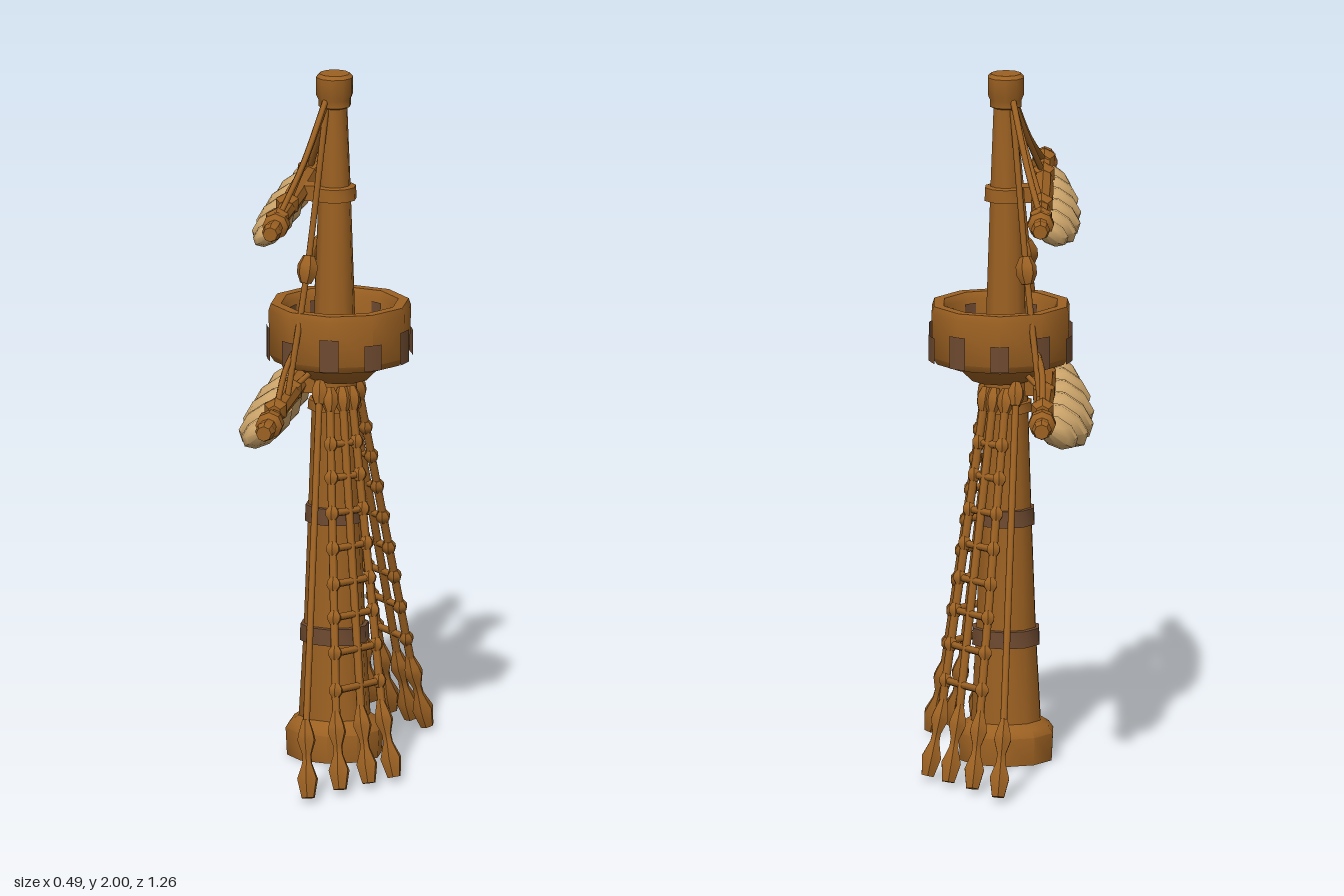
import * as THREE from 'three';
import { toCreasedNormals } from 'three/addons/utils/BufferGeometryUtils.js';

const V = (x, y, z) => new THREE.Vector3(x, y, z);
const UP = V(0, 1, 0);

export function createModel() {
  const model = new THREE.Group();
  model.name = 'shipMast';
  const paint = (name, color, side = THREE.FrontSide) => {
    const m = new THREE.MeshStandardMaterial({ color, side });
    m.name = name;
    return m;
  };
  const wood = paint('wood', 0x9c6122);
  const dark = paint('darkWood', 0x6e4a30, THREE.DoubleSide);
  const canvas = paint('canvas', 0xd3aa6e);

  const add = (name, geometry, material = wood) => {
    const mesh = new THREE.Mesh(geometry, material);
    mesh.name = name;
    model.add(mesh);
    return mesh;
  };
  // Turned part from [radius, height] pairs, listed from bottom to top
  const turned = (profile, sides = 10, crease = 0.75) => toCreasedNormals(
    new THREE.LatheGeometry(profile.map(([r, y]) => new THREE.Vector2(r, y)), sides), crease);
  // Turned part standing at a point and pointing along a direction
  const turnedAlong = (name, from, to, profile, sides = 6) => {
    const mesh = add(name, turned(profile, sides));
    mesh.position.copy(from);
    mesh.quaternion.setFromUnitVectors(UP, to.clone().sub(from).normalize());
  };
  const rope = (name, points, r = 0.009) =>
    add(name, new THREE.TubeGeometry(new THREE.CatmullRomCurve3(points), (points.length - 1) * 5, r, 6));
  const block = (name, centre, dir, r = 0.026, h = 0.03) => turnedAlong(name,
    centre.clone().addScaledVector(dir, -h), centre.clone().addScaledVector(dir, h),
    [[0, 0], [r * 0.55, 0], [r, h * 0.7], [r, h * 1.3], [r * 0.55, h * 2], [0, h * 2]]);

  // Mast with foot, collars and cap
  add('mast', turned([
    [0, 0], [0.138, 0], [0.142, 0.08], [0.128, 0.1], [0.104, 0.115], [0.09, 0.36], [0.077, 0.7],
    [0.064, 1.1], [0.058, 1.33], [0.047, 1.65], [0.037, 1.9], [0.047, 1.905], [0.047, 1.925],
    [0.054, 1.94], [0.054, 1.99], [0.044, 2], [0, 2]]));
  for (const [y, r, h, m] of [[0.36, 0.101, 0.06, dark], [0.71, 0.086, 0.06, dark],
    [1.03, 0.078, 0.04, wood], [1.65, 0.064, 0.05, wood]]) {
    add('mastBand', turned([[r - 0.03, -h / 2], [r, -h / 2 + 0.006], [r - 0.002, h / 2 - 0.006],
      [r - 0.03, h / 2]]), m).position.y = y;
  }

  // Crow's nest: hollow tub on a tapered support
  const nestX = 0.015;
  add('lookoutTub', turned([
    [0.055, 1.1], [0.085, 1.105], [0.125, 1.145], [0.135, 1.16], [0.19, 1.16], [0.203, 1.18],
    [0.207, 1.31], [0.2, 1.33], [0.17, 1.33], [0.16, 1.31], [0.152, 1.2], [0, 1.2]])).position.x = nestX;
  for (let i = 0; i < 10; i++) {
    const angle = i * Math.PI / 5, half = 0.13;
    const h = i % 2 ? 0.075 : 0.095;
    const slat = (r, y, tall) => add('darkSlat',
      new THREE.CylinderGeometry(r, r, tall, 2, 1, true, angle - half, half * 2), dark).position.set(nestX, y, 0);
    slat(0.209, 1.168 + h / 2, h);
    slat(0.15, 1.26, 0.08);
  }
  // Dark boards on the floor and under the support
  for (const s of [-1, 1]) {
    const board = add('floorBoard', new THREE.BoxGeometry(0.06, 0.008, 0.05), dark);
    board.position.set(0, 1.203, s * 0.075);
  }

  // Yards lying along z, with furled sails hung on their -x side
  const yard = (y, x, half, r) => {
    const side = [[r * 0.75, half], [r * 1.0, half - 0.03], [r * 0.8, half - 0.09], [r * 1.35, half - 0.1],
      [r * 1.35, half - 0.14], [r * 0.8, half - 0.16], [r * 0.95, half * 0.4], [r * 1.1, 0.08]];
    const profile = [[0, -half], ...side.map(([a, b]) => [a, -b]), ...side.reverse(), [0, half]];
    const mesh = add('yard', turned(profile, 8));
    mesh.rotation.x = Math.PI / 2;
    mesh.position.set(x, y, 0);
    const parrel = add('yardBracket', new THREE.BoxGeometry(0.09, 0.045, 0.06));
    parrel.position.set(x / 2 - 0.005, y, 0);
  };
  const sail = (y, x, half, size) => {
    const g = new THREE.CylinderGeometry(1, 1, 2, 9, 24, false);
    g.rotateX(Math.PI / 2);
    const p = g.attributes.position;
    const tilt = 0.6;
    for (let i = 0; i < p.count; i++) {
      const t = p.getZ(i);
      const taper = 0.2 + 0.8 * Math.pow(Math.max(0, 1 - t * t), 0.45);
      const puff = taper * (0.74 + 0.26 * Math.abs(Math.sin(t * 3 * Math.PI)));
      const a = p.getX(i) * 0.098 * size * puff, b = p.getY(i) * 0.058 * size * puff;
      p.setXYZ(i,
        x - 0.062 * size * taper + a * Math.cos(tilt) - b * Math.sin(tilt),
        y - 0.062 * size * taper + a * Math.sin(tilt) + b * Math.cos(tilt),
        t * half);
    }
    add('furledSail', toCreasedNormals(g, 0.8), canvas);
  };
  yard(1.65, -0.105, 0.54, 0.028);
  sail(1.645, -0.1, 0.46, 0.78);
  yard(1.085, -0.11, 0.63, 0.029);
  sail(1.08, -0.105, 0.51, 1);

  for (const s of [-1, 1]) {
    // Lifts holding both yards
    const lift = (points) => {
      rope('yardLift', points);
      block('liftBlock', points[points.length - 1], V(0, 0, s), 0.036, 0.028);
    };
    lift([V(-0.02, 1.93, s * 0.03), V(-0.06, 1.78, s * 0.2), V(-0.105, 1.66, s * 0.4)]);
    lift([V(-0.02, 1.92, s * 0.025), V(-0.06, 1.79, s * 0.11), V(-0.105, 1.66, s * 0.21)]);
    lift([V(-0.04, 1.28, s * 0.04), V(-0.1, 1.2, s * 0.2), V(-0.11, 1.1, s * 0.4)]);
    lift([V(-0.05, 1.14, s * 0.05), V(-0.11, 1.09, s * 0.12)]);

    // Long stay from masthead past the tub to the lower yard
    const stay = [V(-0.02, 1.9, s * 0.03), V(-0.06, 1.45, s * 0.125), V(-0.1, 1.1, s * 0.24)];
    rope('topStay', stay);
    block('stayBlock', stay[1], V(-0.08, -0.95, s * 0.23).normalize(), 0.03, 0.04);

    // Shrouds: top, knee and foot of each rope
    const shrouds = [
      [V(-0.03, 1.08, 0.09), V(0, 0.2, 0.545), V(0.015, 0.012, 0.605)],
      [V(0, 1.06, 0.09), V(0.07, 0.2, 0.43), V(0.09, 0.012, 0.49)],
      [V(0.035, 1.06, 0.075), V(0.13, 0.2, 0.35), V(0.16, 0.012, 0.4)],
      [V(0.06, 1.06, 0.06), V(0.18, 0.2, 0.28), V(0.22, 0.012, 0.315)],
    ].map((pts) => pts.map((p) => V(p.x, p.y, p.z * s)));
    shrouds.forEach(([top, knee, foot], i) => {
      rope('shroud', [top, knee], i ? 0.012 : 0.01);
      turnedAlong('deadeye', foot, knee, [[0, 0], [0.02, 0], [0.032, 0.055], [0.015, 0.1],
        [0.014, 0.125], [0.028, 0.165], [0.024, 0.185], [0.011, 0.225]]);
      block('shroudTop', top, knee.clone().sub(top).normalize(), 0.024, 0.035);
    });

    // Rungs tied across the three inner shrouds
    for (const y of [0.28, 0.38, 0.475, 0.565, 0.66, 0.755, 0.85, 0.94]) {
      const ties = shrouds.slice(1).map(([top, knee]) => knee.clone().lerp(top, (y - 0.2) / 0.86));
      rope('rung', ties, 0.011);
      for (const tie of [ties[0], ties[2]]) block('rungKnot', tie, V(0, 1, -0.35 * s).normalize(), 0.021, 0.02);
    }
  }
  return model;
}
